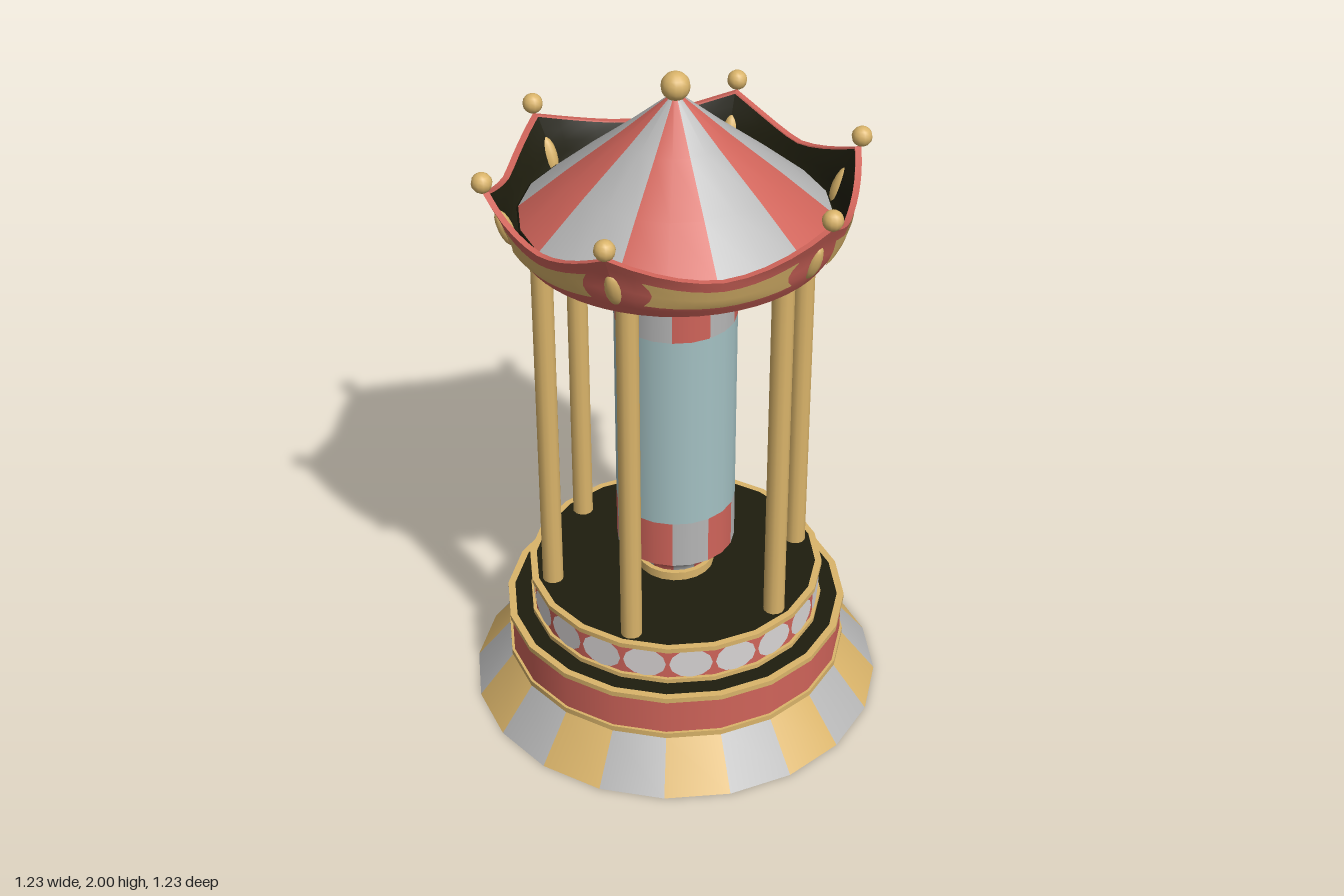
import * as THREE from 'three';

const paint = (name, color) => new THREE.MeshStandardMaterial({ name, color, side: THREE.DoubleSide });
const RAD = Math.PI / 180;
const SIDES = 20;

export function createModel() {
  const gold = paint('gold', 0xdab46a);
  const red = paint('red', 0xd0645a);
  const grey = paint('grey', 0xb6b6b6);
  const white = paint('white', 0xd8d4d4);
  const glass = paint('paleBlue', 0xa4c1c3);
  const dark = paint('dark', 0x1e1d0e);

  const model = new THREE.Group();
  model.name = 'carousel';

  const add = (name, geometry, material, parent = model) => {
    const mesh = new THREE.Mesh(geometry, material);
    mesh.name = name;
    parent.add(mesh);
    return mesh;
  };
  const group = (name) => {
    const g = new THREE.Group();
    g.name = name;
    model.add(g);
    return g;
  };
  const points = (profile) => profile.map(([r, y]) => new THREE.Vector2(r, y));
  const turn = (name, profile, material) => add(name, new THREE.LatheGeometry(points(profile), SIDES), material);
  const disc = (name, r, y) => turn(name, [[r, y], [0, y]], dark);
  const ring = (name, inner, outer, y0, y1) =>
    turn(name, [[inner, y0], [outer, y0], [outer, y0], [outer, y1], [outer, y1], [inner, y1]], gold);

  // Turned part split into wedges of two alternating colours
  const striped = (name, profile, count, start, colours) => {
    const g = group(name);
    const step = (Math.PI * 2) / count;
    for (let i = 0; i < count; i++) {
      const wedge = new THREE.LatheGeometry(points(profile), SIDES / count, start + i * step, step);
      add(name + 'Stripe', wedge, colours[i % 2], g);
    }
  };

  // Grid surface from a rule (u, v) -> [angle, radius, height]
  const surface = (rule, nu, nv) => {
    const position = [], index = [];
    for (let i = 0; i <= nu; i++) {
      for (let j = 0; j <= nv; j++) {
        const [a, r, y] = rule(i / nu, j / nv);
        position.push(r * Math.sin(a), y, r * Math.cos(a));
        if (i < nu && j < nv) {
          const p = i * (nv + 1) + j, q = p + nv + 1;
          index.push(p, q, p + 1, q + 1, p + 1, q);
        }
      }
    }
    const geometry = new THREE.BufferGeometry();
    geometry.setAttribute('position', new THREE.Float32BufferAttribute(position, 3));
    geometry.setIndex(index);
    geometry.computeVertexNormals();
    return geometry;
  };

  // Base skirt, drum and upper tier
  striped('skirt', [[0.615, 0], [0.508, 0.138]], 20, 0, [grey, gold]);
  ring('drumLowerTrim', 0.49, 0.511, 0.138, 0.155);
  turn('drum', [[0.503, 0.15], [0.503, 0.275]], red);
  ring('drumUpperTrim', 0.49, 0.511, 0.27, 0.286);
  disc('lowerDeck', 0.5, 0.283);
  ring('tierLowerTrim', 0.42, 0.44, 0.284, 0.298);
  turn('tier', [[0.43, 0.29], [0.43, 0.4]], red);
  ring('tierUpperTrim', 0.42, 0.44, 0.395, 0.41);
  disc('upperDeck', 0.432, 0.405);

  // Pale round panels, one on each side of the tier
  const medallions = group('medallions');
  for (let i = 0; i < SIDES; i++) {
    const a = (i + 0.5) * 18 * RAD;
    const plate = add('medallion', new THREE.CircleGeometry(1, 12), white, medallions);
    plate.scale.set(0.063, 0.05, 1);
    plate.position.set(0.428 * Math.sin(a), 0.347, 0.428 * Math.cos(a));
    plate.rotation.y = a;
  }

  // Centre column
  ring('columnFootRing', 0.05, 0.115, 0.405, 0.432);
  striped('columnFoot', [[0.1, 0.43], [0.105, 0.45], [0.175, 0.505], [0.175, 0.505], [0.175, 0.655]],
    10, -18 * RAD, [grey, red]);
  turn('columnGlass', [[0.175, 0.655], [0.175, 1.27]], glass);
  striped('columnHead', [[0.175, 1.27], [0.175, 1.42], [0.175, 1.42], [0.105, 1.475], [0.1, 1.5]],
    10, -18 * RAD, [red, grey]);
  ring('columnHeadRing', 0.05, 0.115, 1.495, 1.512);

  // Canopy wall: one flared profile cut to a scalloped top edge
  const corners = [-34.6, 34.6, 90, 145.4, 214.6, 270, 325.4].map((d) => d * RAD);
  const flare = [[1.51, 0.43], [1.56, 0.463], [1.635, 0.487], [1.72, 0.53]];
  const wallRadius = (y) => {
    let k = 0;
    while (k < 2 && y > flare[k + 1][0]) k++;
    const [y0, r0] = flare[k], [y1, r1] = flare[k + 1];
    return r0 + ((y - y0) / (y1 - y0)) * (r1 - r0);
  };
  const topEdge = (u) => 1.635 + 0.08 * Math.pow(Math.abs(2 * u - 1), 1.6);
  const canopy = group('canopy');
  for (let i = 0; i < 6; i++) {
    const a0 = corners[i], span = corners[i + 1] - a0;
    const wall = (u, v, offset) => {
      const y = 1.51 + v * (topEdge(u) - 1.51);
      return [a0 + u * span, wallRadius(y) + offset, y];
    };
    add('canopyWall', surface((u, v) => wall(u, v, 0), 10, 6), red, canopy);
    add('canopyLining', surface((u, v) => wall(u, v * 0.97, -0.016), 10, 6), dark, canopy);
    add('canopyRim', surface((u, v) => wall(u, 1, -0.018 * v), 10, 1), red, canopy);
    // Gold panel with hollowed ends
    const panel = (u, v) => {
      const inset = 0.14 + 0.04 * Math.sin(Math.PI * v);
      return wall(inset + u * (1 - 2 * inset), 0.3 + 0.48 * v, 0.005);
    };
    add('canopyPanel', surface(panel, 10, 4), gold, canopy);
  }
  disc('canopyFloor', 0.43, 1.512);

  // Striped roof and top ball
  striped('roof', [[0.43, 1.59], [0.29, 1.708], [0.15, 1.82], [0.02, 1.93]], 10, 0, [grey, red]);
  turn('roofEdge', [[0.43, 1.512], [0.435, 1.587], [0.43, 1.59]], dark);
  add('topBall', new THREE.SphereGeometry(0.04, 14, 10), gold).position.y = 1.96;

  // Poles, drops and finials at the six corners
  const posts = group('posts');
  for (const a of corners.slice(1)) {
    const post = new THREE.Group();
    post.name = 'post';
    post.rotation.y = a;
    posts.add(post);
    const pole = add('pole', new THREE.CylinderGeometry(0.031, 0.031, 1.11, 12), gold, post);
    pole.position.set(0, 0.957, 0.377);
    const drop = add('drop', new THREE.SphereGeometry(1, 10, 8), gold, post);
    drop.scale.set(0.024, 0.058, 0.022);
    drop.position.set(0, 1.602, 0.47);
    drop.rotation.x = 0.36;
    const finial = add('finial', new THREE.SphereGeometry(0.029, 12, 8), gold, post);
    finial.position.set(0, 1.745, 0.528);
  }
  return model;
}
